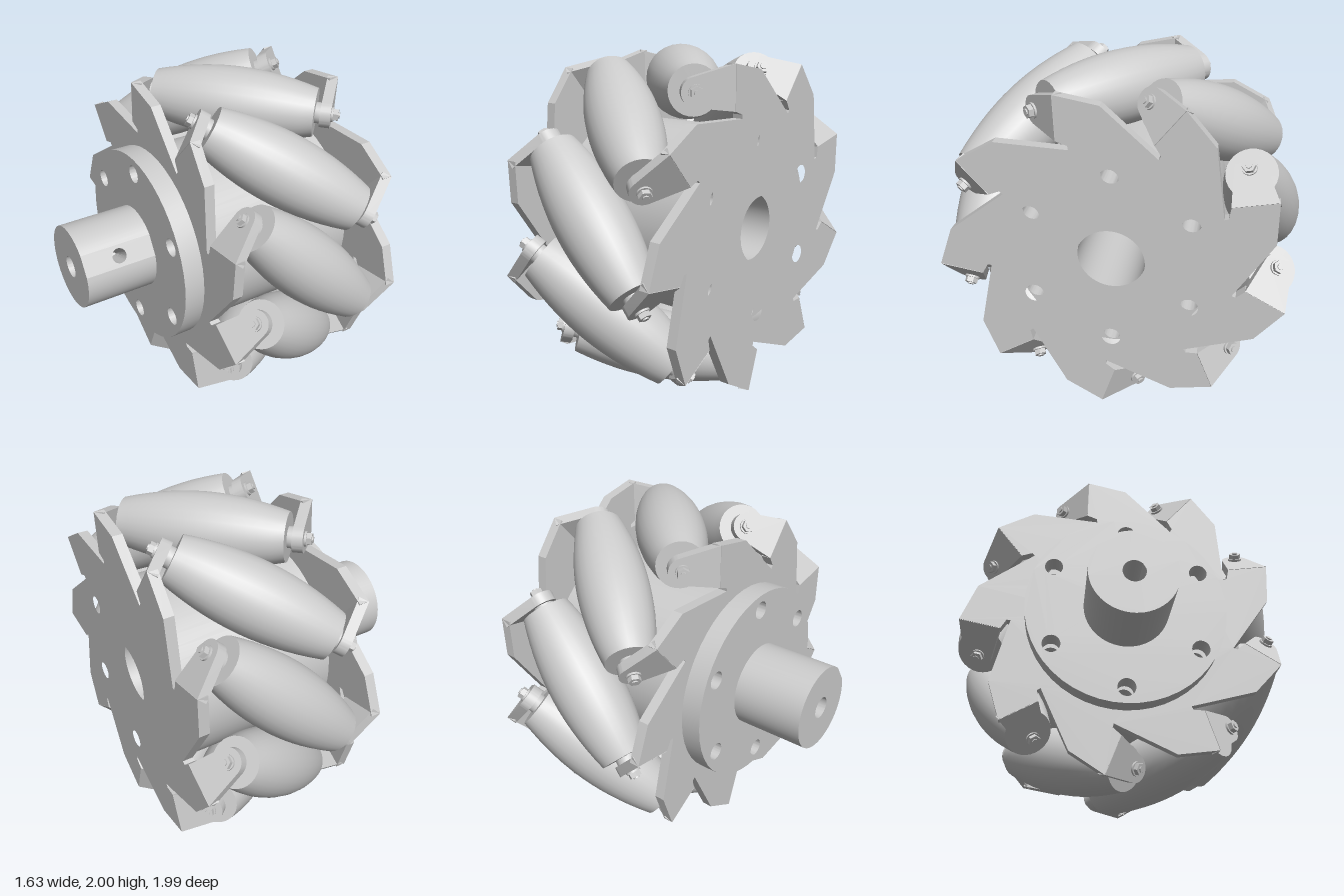
import * as THREE from 'three';
import { toCreasedNormals } from 'three/addons/utils/BufferGeometryUtils.js';

const COUNT = 9;
const STEP = (Math.PI * 2) / COUNT;
const PHASE = 0.026;     // turn of the roller ring about the wheel axis
const MID = 0.27;        // centre of the roller ring along the wheel axis
const ROLLER_R = 0.795;  // distance of roller centres from the wheel axis
const material = new THREE.MeshStandardMaterial({ color: 0xcccccc });

function mesh(name, geometry, crease = 0.5) {
  const m = new THREE.Mesh(toCreasedNormals(geometry, crease), material);
  m.name = name;
  return m;
}

function group(name, ...children) {
  const g = new THREE.Group();
  g.name = name;
  if (children.length) g.add(...children);
  return g;
}

function extrude(shape, from, to, curveSegments = 24) {
  return new THREE.ExtrudeGeometry(shape, { depth: to - from, bevelEnabled: false, curveSegments })
    .translate(0, 0, from);
}

function addHole(shape, x, y, r) {
  shape.holes.push(new THREE.Path().absarc(x, y, r, 0, Math.PI * 2, true));
}

// Central bore plus the ring of six bolt holes
function addHoles(shape, bore, turn = 0) {
  addHole(shape, 0, 0, bore);
  for (let i = 0; i < 6; i++) {
    const a = (i * Math.PI) / 3 + turn;
    addHole(shape, 0.495 * Math.sin(a), 0.495 * Math.cos(a), 0.053);
  }
}

function disc(name, radius, bore, from, to) {
  const shape = new THREE.Shape().absarc(0, 0, radius, 0, Math.PI * 2);
  addHoles(shape, bore);
  return mesh(name, extrude(shape, from, to));
}

// Cylinder lying along z between two positions
function rod(name, radius, from, to, sides) {
  const g = new THREE.CylinderGeometry(radius, radius, to - from, sides);
  return mesh(name, g.rotateX(Math.PI / 2).translate(0, 0, (from + to) / 2), sides < 8 ? 0.1 : 0.5);
}

// Saw-toothed side plate; one tooth per roller
function makePlate(turn) {
  const tooth = [[-0.187, 0.645], [-0.19, 0.668], [-0.25, 0.69], [-0.25, 0.935], [-0.015, 0.888]];
  const points = [];
  for (let k = 0; k < COUNT; k++) {
    for (const [x, y] of tooth) {
      points.push(new THREE.Vector2(x, y).rotateAround(new THREE.Vector2(), -k * STEP));
    }
  }
  const shape = new THREE.Shape(points);
  addHoles(shape, 0.19, turn);
  return mesh('sidePlate', extrude(shape, 0.48, 0.54));
}

// Bracket ear bent 45 degrees inward, square to the roller axle
function makeTab() {
  const shape = new THREE.Shape();
  shape.moveTo(-0.012, 0.935);
  shape.lineTo(-0.012, 0.69);
  shape.absarc(0.19, ROLLER_R, 0.08, -1.45, 1.29, false);
  shape.closePath();
  const tab = mesh('bracketTab', extrude(shape, -0.03, 0.03, 12));
  tab.position.set(-0.24, 0, 0.51);
  tab.rotation.y = Math.PI * 0.75;
  return tab;
}

// Bolt head, socket ring and spacer at one end of an axle
function makeBolt() {
  const bolt = group('axleBolt',
    rod('spacer', 0.06, 0.465, 0.505, 16),
    rod('washer', 0.042, 0.555, 0.572, 16),
    rod('hexHead', 0.036, 0.57, 0.6, 6),
    rod('boltTip', 0.018, 0.59, 0.608, 10));
  bolt.position.y = ROLLER_R;
  bolt.rotation.y = -Math.PI / 4;
  return bolt;
}

// One side of the cage: plate, ears and bolts
function makeHalf(name, side) {
  const half = group(name, makePlate(side * PHASE));
  for (let k = 0; k < COUNT; k++) {
    const bracket = group('bracket', makeTab(), makeBolt());
    bracket.rotation.z = k * STEP;
    half.add(bracket);
  }
  return half;
}

// Barrel whose outer line lies on the wheel's rolling circle
function makeRoller() {
  const end = 0.47, n = 14;
  const profile = [new THREE.Vector2(0.02, -end)];
  for (let i = 0; i <= n; i++) {
    const s = -end + (2 * end * i) / n;
    profile.push(new THREE.Vector2(1 - Math.sqrt(ROLLER_R ** 2 + s * s / 2), s));
  }
  profile.push(new THREE.Vector2(0.02, end));
  const barrel = mesh('rollerBarrel', new THREE.LatheGeometry(profile, 28).rotateX(Math.PI / 2), 0.6);
  const axle = rod('axle', 0.025, -0.56, 0.56, 12);
  const roller = group('roller', barrel, axle);
  roller.position.y = ROLLER_R;
  roller.rotation.y = -Math.PI / 4;
  return roller;
}

// Bored shaft: a ring sector closed by a wedge that carries the set screw hole
function makeShaft() {
  const R = 0.25, bore = 0.065, from = -0.82, to = -0.38, gap = Math.PI / 12;
  const sector = new THREE.Shape();
  sector.absarc(0, 0, R, gap, Math.PI * 2 - gap, false);
  sector.absarc(0, 0, bore, Math.PI * 2 - gap, gap, true);
  sector.closePath();

  const flat = R * Math.cos(gap), inner = bore * Math.cos(gap), w = R * Math.sin(gap);
  const face = new THREE.Shape([[-w, from], [w, from], [w, to], [-w, to]]
    .map(([x, y]) => new THREE.Vector2(x, y)));
  addHole(face, 0, -0.6, 0.043);
  const wedge = extrude(face, inner, flat);
  const p = wedge.attributes.position;
  for (let i = 0; i < p.count; i++) p.setX(i, p.getX(i) * p.getZ(i) / flat);
  wedge.applyMatrix4(new THREE.Matrix4().makeBasis(
    new THREE.Vector3(0, 1, 0), new THREE.Vector3(0, 0, 1), new THREE.Vector3(1, 0, 0)));

  const shaft = group('shaft',
    mesh('shaftBody', extrude(sector, from, to, 28)),
    mesh('setScrewWall', wedge));
  shaft.rotation.z = THREE.MathUtils.degToRad(148);
  return shaft;
}

export function createModel() {
  // Built along z, then turned so the wheel axis runs along x
  const wheel = group('wheel',
    makeShaft(),
    disc('hubFlange', 0.59, 0.065, -0.39, -0.265),
    disc('drum', 0.555, 0.19, -0.21, 0.755));

  const ring = group('rollerRing');
  const outerHalf = makeHalf('outerCage', 1);
  const innerHalf = makeHalf('innerCage', -1);
  innerHalf.rotation.y = Math.PI;
  ring.add(outerHalf, innerHalf);
  for (let k = 0; k < COUNT; k++) {
    const holder = group('rollerPosition', makeRoller());
    holder.rotation.z = k * STEP;
    ring.add(holder);
  }
  ring.rotation.z = PHASE;
  ring.position.z = MID;
  wheel.add(ring);

  wheel.rotation.y = Math.PI / 2;
  wheel.position.y = 1;
  return group('omniWheel', wheel);
}
